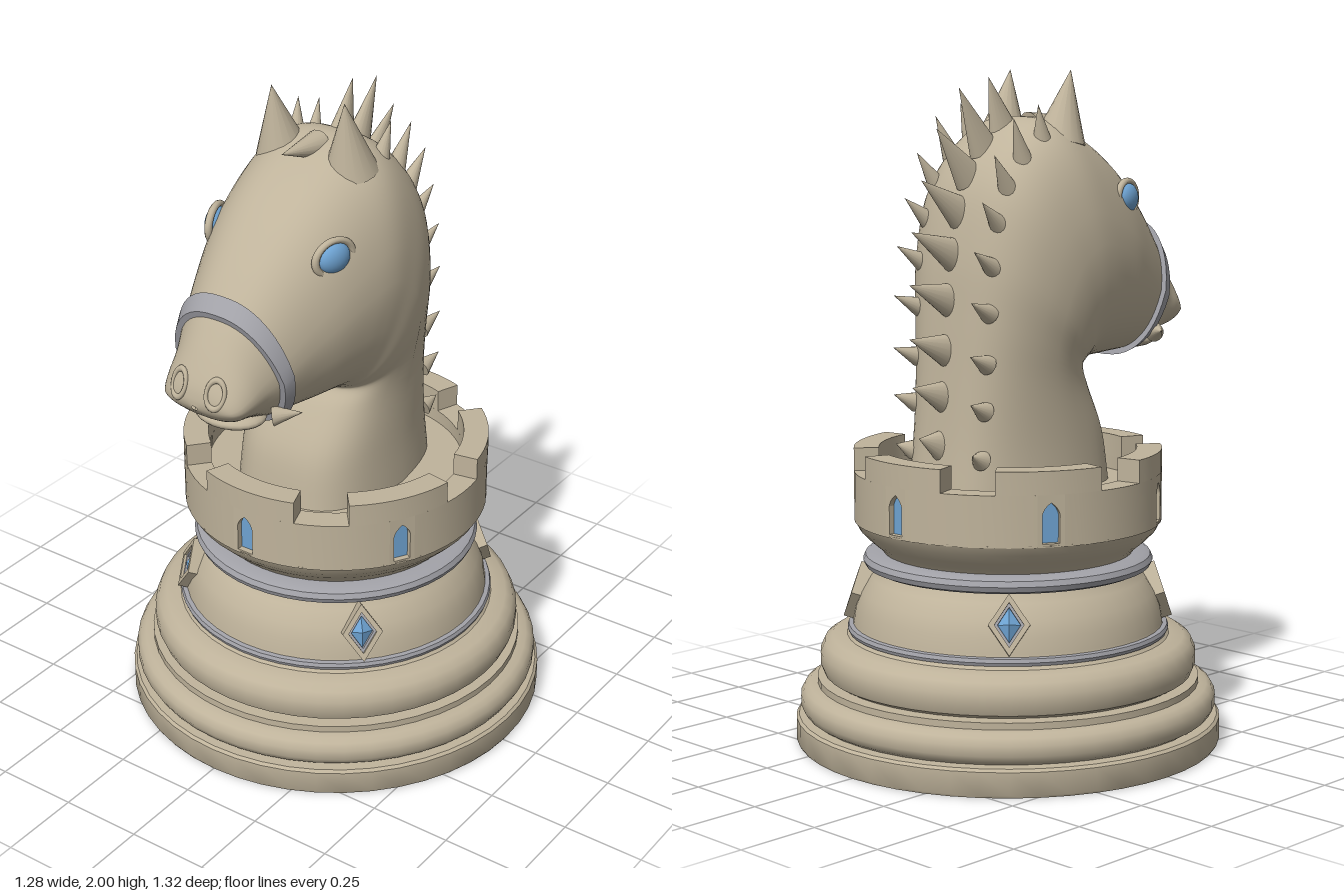
import * as THREE from 'three';
import { toCreasedNormals } from 'three/addons/utils/BufferGeometryUtils.js';

const mat = (name, color) => {
  const m = new THREE.MeshStandardMaterial({ color });
  m.name = name;
  return m;
};

export function createModel() {
  const stone = mat('stone', 0xbfb39b);
  const silver = mat('silver', 0xa2a2a8);
  const blue = mat('blue glass', 0x6ea3d2);
  const model = new THREE.Group();
  const tower = new THREE.Group();
  tower.name = 'tower';
  tower.position.z = -0.01;
  model.add(tower);

  const add = (parent, name, geo, material, x = 0, y = 0, z = 0) => {
    const m = new THREE.Mesh(geo, material);
    m.name = name;
    m.position.set(x, y, z);
    parent.add(m);
    return m;
  };
  const lathe = (pts) => toCreasedNormals(
    new THREE.LatheGeometry(pts.map(p => new THREE.Vector2(p[0], p[1])), 48), 0.6);

  // Stepped base, bell and flare
  add(tower, 'base', lathe([
    [0, 0], [0.635, 0], [0.64, 0.008], [0.64, 0.075], [0.632, 0.083], [0.6, 0.085],
    [0.615, 0.095], [0.626, 0.115], [0.626, 0.145], [0.615, 0.165], [0.6, 0.175],
    [0.575, 0.178], [0.575, 0.198], [0.535, 0.2],
    [0.555, 0.212], [0.566, 0.24], [0.566, 0.275], [0.553, 0.305], [0.53, 0.32],
    [0.485, 0.325], [0.47, 0.34], [0.465, 0.365], [0.458, 0.41], [0.44, 0.455], [0.41, 0.5],
    [0.38, 0.53], [0.37, 0.57], [0.385, 0.59], [0.415, 0.615], [0.445, 0.645], [0.46, 0.675], [0.38, 0.675]]), stone);
  add(tower, 'lowerRing', lathe([[0.45, 0.332], [0.48, 0.335], [0.484, 0.345], [0.48, 0.356], [0.45, 0.36]]), silver);
  add(tower, 'upperRing', lathe([[0.36, 0.527], [0.41, 0.528], [0.428, 0.536], [0.435, 0.552], [0.428, 0.568],
    [0.41, 0.576], [0.36, 0.577]]), silver);
  add(tower, 'towerFloor', new THREE.CylinderGeometry(0.386, 0.386, 0.12, 48), stone, 0, 0.72, 0);

  // Curved wall block between two angles measured from the front
  const R = 0.46, RIN = 0.385, RAD = Math.PI / 180;
  const block = (a0, a1, y0, y1) => {
    const pts = [];
    for (let i = 0; i <= 10; i++) pts.push([R, a0 + (a1 - a0) * i / 10]);
    for (let i = 10; i >= 0; i--) pts.push([RIN, a0 + (a1 - a0) * i / 10]);
    const shape = new THREE.Shape(pts.map(([r, a]) =>
      new THREE.Vector2(r * Math.sin(a * RAD), -r * Math.cos(a * RAD))));
    const g = new THREE.ExtrudeGeometry(shape, { depth: y1 - y0, bevelEnabled: false });
    g.rotateX(-Math.PI / 2).translate(0, y0, 0);
    return toCreasedNormals(g, 0.5);
  };

  // Flat wall panel pierced by an arched window
  const half = R * Math.sin(5 * RAD);
  const panel = new THREE.Shape([[-half, 0.67], [half, 0.67], [half, 0.82], [-half, 0.82]]
    .map(p => new THREE.Vector2(...p)));
  const opening = new THREE.Path();
  opening.moveTo(-0.026, 0.68);
  opening.lineTo(-0.026, 0.762);
  opening.quadraticCurveTo(-0.022, 0.782, 0, 0.797);
  opening.quadraticCurveTo(0.022, 0.782, 0.026, 0.762);
  opening.lineTo(0.026, 0.68);
  opening.closePath();
  panel.holes.push(opening);
  const panelGeo = new THREE.ExtrudeGeometry(panel, { depth: 0.072, bevelEnabled: false });

  for (let i = 0; i < 6; i++) {
    const a = i * 60;
    add(tower, 'wall', block(a + 5, a + 55, 0.67, 0.82), stone);
    add(tower, 'battlement', block(a - 20, a + 20, 0.82, 0.888), stone);
    const bay = new THREE.Group();
    bay.name = 'windowBay';
    bay.rotation.y = a * RAD;
    tower.add(bay);
    add(bay, 'windowPanel', panelGeo, stone, 0, 0, R * Math.cos(5 * RAD) - 0.072);
    add(bay, 'windowGlass', new THREE.BoxGeometry(0.062, 0.13, 0.008), blue, 0, 0.74, 0.436);
  }

  // Diamond ornaments on the bell
  const diamond = (w, h, C) => new C([[0, -h], [w, 0], [0, h], [-w, 0]].map(p => new THREE.Vector2(...p)));
  const diamondFrame = (w, h, iw, ih, depth) => {
    const s = diamond(w, h, THREE.Shape);
    s.holes.push(diamond(iw, ih, THREE.Path));
    return new THREE.ExtrudeGeometry(s, { depth, bevelEnabled: false });
  };
  for (let i = 0; i < 4; i++) {
    const turn = new THREE.Group();
    turn.name = 'diamondOrnament';
    turn.rotation.y = (45 + i * 90) * RAD;
    tower.add(turn);
    const tilt = new THREE.Group();
    tilt.position.set(0, 0.442, 0.435);
    tilt.rotation.x = -0.32;
    turn.add(tilt);
    add(tilt, 'diamondFrame', diamondFrame(0.06, 0.088, 0.042, 0.063, 0.045), stone, 0, 0, -0.01);
    add(tilt, 'diamondInlay', diamondFrame(0.043, 0.064, 0.033, 0.05, 0.032), silver, 0, 0, -0.005);
    add(tilt, 'diamondGem', new THREE.OctahedronGeometry(1), blue, 0, 0, 0.012).scale.set(0.035, 0.053, 0.022);
  }

  // Sections from neck to nose: [top z, top y, under z, under y, half width]
  const sections = [
    [-0.32, 0.76, 0.3, 0.76, 0.245], [-0.298, 0.93, 0.27, 0.93, 0.235], [-0.28, 1.12, 0.2, 1.06, 0.235],
    [-0.265, 1.3, 0.158, 1.112, 0.25], [-0.245, 1.48, 0.155, 1.125, 0.272], [-0.195, 1.67, 0.165, 1.13, 0.285],
    [-0.1, 1.8, 0.175, 1.132, 0.288], [0.02, 1.865, 0.19, 1.135, 0.288], [0.15, 1.83, 0.225, 1.138, 0.277],
    [0.3, 1.745, 0.29, 1.14, 0.252], [0.43, 1.63, 0.36, 1.142, 0.215], [0.535, 1.51, 0.43, 1.145, 0.18],
    [0.59, 1.43, 0.49, 1.165, 0.157], [0.625, 1.37, 0.55, 1.187, 0.147], [0.65, 1.32, 0.605, 1.203, 0.13],
    [0.66, 1.285, 0.64, 1.23, 0.095], [0.662, 1.262, 0.658, 1.25, 0.01]];
  const last = sections.length - 1;
  const topLine = new THREE.CatmullRomCurve3(sections.map(s => new THREE.Vector3(s[4], s[1], s[0])), false, 'catmullrom', 0.5);
  const underLine = new THREE.CatmullRomCurve3(sections.map(s => new THREE.Vector3(0, s[3], s[2])), false, 'catmullrom', 0.5);
  const pw = (v, e) => Math.sign(v) * Math.pow(Math.abs(v), e);
  // Loft rounded-box rings; each entry is [section index, outward growth]
  const loft = (rings) => {
    const N = 48, pos = [], idx = [];
    rings.forEach(([s, grow], r) => {
      const a = topLine.getPoint(s / last), b = underLine.getPoint(s / last);
      const cy = (a.y + b.y) / 2, cz = (a.z + b.z) / 2, h = Math.hypot(a.y - b.y, a.z - b.z) / 2 || 1e-4;
      const uy = (a.y - cy) / h, uz = (a.z - cz) / h;
      const e = s < 5 ? 2 / 3.2 : 2 / Math.max(2.3, 3.2 - (s - 5) * 0.12);
      for (let i = 0; i < N; i++) {
        const q = i / N * Math.PI * 2, t = pw(Math.sin(q), e);
        const x = pw(Math.cos(q), e) * (a.x + grow) * (1 - (t > 0 ? 0.18 : 0.1) * Math.abs(t));
        pos.push(x, cy + uy * t * (h + grow), cz + uz * t * (h + grow));
        if (r < rings.length - 1) {
          const p = r * N + i, n = r * N + (i + 1) % N;
          idx.push(p, n, p + N, n, n + N, p + N);
        }
      }
    });
    const g = new THREE.BufferGeometry();
    g.setAttribute('position', new THREE.Float32BufferAttribute(pos, 3));
    g.setIndex(idx);
    g.computeVertexNormals();
    return g;
  };
  const steps = last * 5;
  add(model, 'headAndNeck', loft(Array.from({ length: steps + 1 }, (_, i) => [i / 5, 0])), stone);
  add(model, 'noseband', toCreasedNormals(loft([[10.85, -0.01], [10.85, 0.018], [11.3, 0.018], [11.3, -0.01]]), 0.6), silver);
  add(model, 'lowerLip', new THREE.SphereGeometry(1, 24, 16), stone, 0, 1.172, 0.5).scale.set(0.11, 0.03, 0.085);

  // Cone from a base point to a tip
  const spike = (name, base, tip, r, flat = 1) => {
    const from = new THREE.Vector3(...base), dir = new THREE.Vector3(...tip).sub(from), len = dir.length();
    const g = new THREE.ConeGeometry(r, len, 16).translate(0, len / 2, 0);
    const m = add(model, name, g, stone, ...base);
    m.quaternion.setFromUnitVectors(new THREE.Vector3(0, 1, 0), dir.normalize());
    m.scale.x = flat;
  };

  for (const s of [-1, 1]) {
    spike('ear', [s * 0.118, 1.79, 0.085], [s * 0.124, 2.0, 0.127], 0.078);
    spike('mouthCorner', [s * 0.14, 1.2, 0.49], [s * 0.21, 1.212, 0.445], 0.03);
    // Eye with a raised lid
    const eye = new THREE.Group();
    eye.name = 'eye';
    eye.position.set(s * 0.203, 1.622, 0.288);
    eye.rotation.y = s * (Math.PI / 2 - 0.3);
    model.add(eye);
    add(eye, 'eyeball', new THREE.SphereGeometry(1, 24, 16), blue).scale.set(0.052, 0.045, 0.03);
    add(eye, 'eyelid', new THREE.TorusGeometry(0.06, 0.011, 10, 32), stone).scale.set(1.05, 0.85, 1);
    // Nostril rim
    const nostril = add(model, 'nostril', new THREE.TorusGeometry(0.03, 0.007, 8, 24), stone, s * 0.062, 1.31, 0.645);
    nostril.scale.set(0.9, 1.35, 1);
    nostril.rotation.set(-0.35, s * 0.25, 0);
  }
  spike('forelock', [0, 1.835, 0.08], [0, 1.862, 0.25], 0.042);

  // Mane: [base z, base y, tip z, tip y], with smaller spikes on both sides
  const mane = [
    [-0.03, 1.82, -0.09, 1.98], [-0.11, 1.77, -0.21, 1.95], [-0.17, 1.69, -0.3, 1.835],
    [-0.205, 1.59, -0.36, 1.69], [-0.23, 1.47, -0.4, 1.545], [-0.245, 1.34, -0.41, 1.395],
    [-0.255, 1.195, -0.41, 1.24], [-0.265, 1.06, -0.4, 1.1], [-0.28, 0.92, -0.375, 0.95]];
  for (const [bz, by, tz, ty] of mane) {
    spike('maneSpike', [0, by, bz], [0, ty, tz], 0.052, 0.65);
    for (const s of [-1, 1]) {
      const z = bz + 0.015, y = by - 0.03;
      spike('sideManeSpike', [s * 0.145, y, z], [s * 0.16, y + (ty - by) * 0.7, z + (tz - bz) * 0.55], 0.03);
    }
  }
  return model;
}
